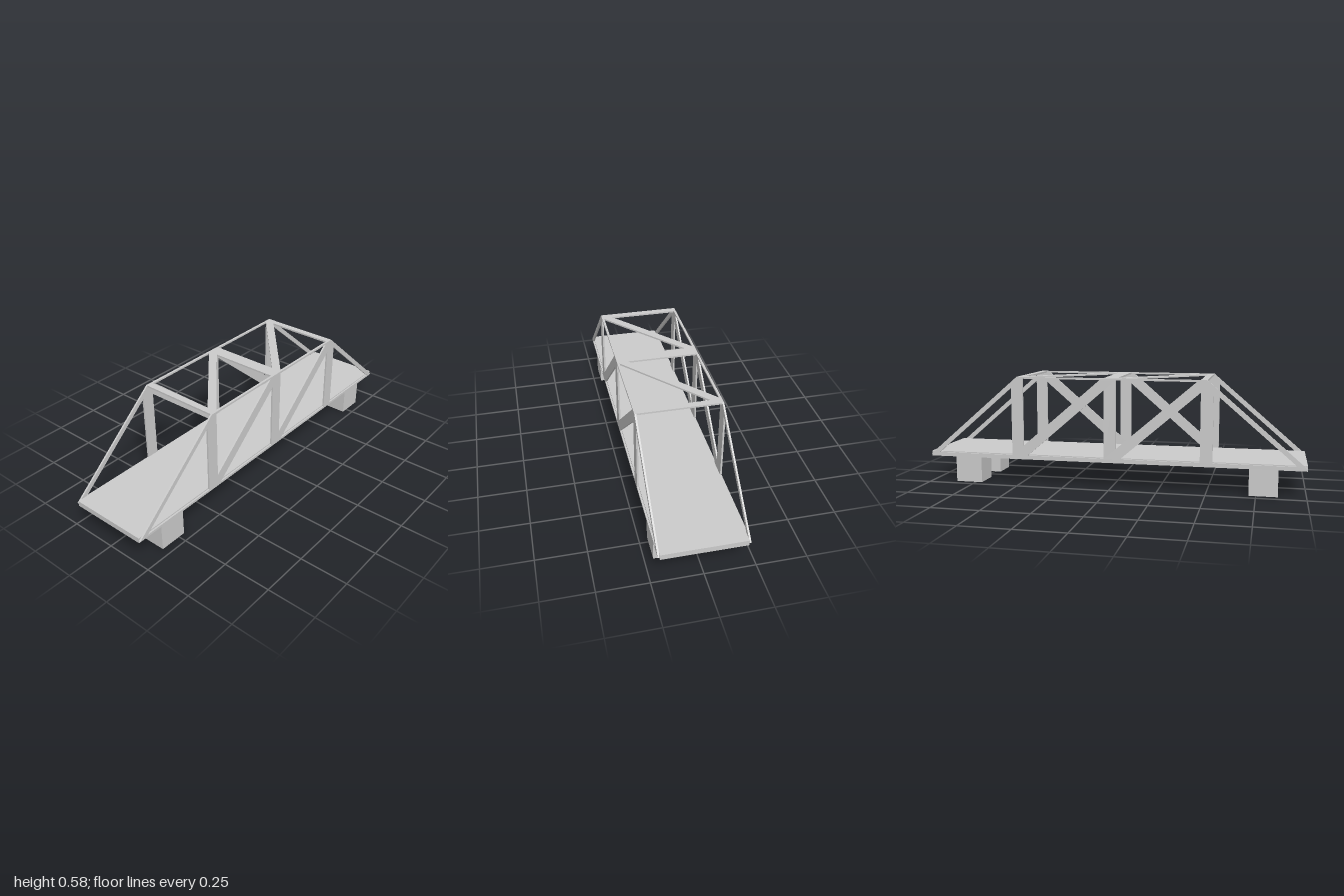
import * as THREE from 'three';

const material = new THREE.MeshStandardMaterial({ color: 0xcccccc, flatShading: true });
const BASE = 0.15, TOP = 0.58, HALF_WIDTH = 0.2165, THICK = 0.009;
const PANEL = 0.5, CHORD = 0.01, POST = 0.032, DIAGONAL = 0.027, SLOPE = 0.024;

function addMesh(parent, name, geometry, x = 0, y = 0, z = 0) {
  const mesh = new THREE.Mesh(geometry, material);
  mesh.name = name;
  mesh.position.set(x, y, z);
  parent.add(mesh);
  return mesh;
}

// Moves each edge of a counter-clockwise polygon inwards by its own distance
function inset(points, distances) {
  const n = points.length;
  const lines = points.map(([x, y], i) => {
    const [x2, y2] = points[(i + 1) % n];
    const length = Math.hypot(x2 - x, y2 - y);
    const nx = -(y2 - y) / length, ny = (x2 - x) / length;
    return { nx, ny, c: nx * x + ny * y + distances[i] };
  });
  return lines.map((b, i) => {
    const a = lines[(i + n - 1) % n];
    const det = a.nx * b.ny - a.ny * b.nx;
    return new THREE.Vector2((a.c * b.ny - a.ny * b.c) / det, (a.nx * b.c - a.c * b.nx) / det);
  });
}

// Thin framework: an outline with inset triangular openings
function framework(outline, openings) {
  const shape = new THREE.Shape(outline.map(([x, y]) => new THREE.Vector2(x, y)));
  for (const [points, distances] of openings) shape.holes.push(new THREE.Path(inset(points, distances)));
  return new THREE.ExtrudeGeometry(shape, { depth: THICK, bevelEnabled: false });
}

// Side truss drawn in (z, y), standing at +x
function sideTrussGeometry() {
  const openings = [
    [[[PANEL, BASE], [1, BASE], [PANEL, TOP]], [CHORD, SLOPE, POST]],
    [[[-1, BASE], [-PANEL, BASE], [-PANEL, TOP]], [CHORD, POST, SLOPE]],
  ];
  for (const a of [-PANEL, 0]) {
    const b = a + PANEL;
    openings.push([[[a, BASE], [b, BASE], [a, TOP]], [CHORD, DIAGONAL, POST]]);
    openings.push([[[b, BASE], [b, TOP], [a, TOP]], [POST, CHORD, DIAGONAL]]);
  }
  const outline = [[-1, BASE], [1, BASE], [PANEL, TOP], [-PANEL, TOP]];
  return framework(outline, openings).rotateY(-Math.PI / 2).translate(HALF_WIDTH, 0, 0);
}

// Top bracing drawn in (x, z), lying between the upper chords
function topBracingGeometry() {
  const w = HALF_WIDTH, openings = [];
  for (const a of [-PANEL, 0]) {
    const b = a + PANEL;
    openings.push([[[-w, a], [w, a], [w, b]], [0.034, 0.012, 0.021]]);
    openings.push([[[-w, a], [w, b], [-w, b]], [0.021, 0.034, 0.012]]);
  }
  const outline = [[-w, -PANEL], [w, -PANEL], [w, PANEL], [-w, PANEL]];
  return framework(outline, openings).rotateX(Math.PI / 2).translate(0, TOP, 0);
}

export function createModel() {
  const bridge = new THREE.Group();
  bridge.name = 'trussBridge';

  // Road deck
  addMesh(bridge, 'deck', new THREE.BoxGeometry(0.414, 0.028, 2), 0, 0.151, 0);

  // Four supporting piers
  const pier = new THREE.BoxGeometry(0.138, 0.137, 0.145);
  for (const x of [-1, 1]) {
    for (const z of [-1, 1]) addMesh(bridge, 'pier', pier, x * 0.138, 0.0685, z * 0.787);
  }

  // Side trusses, the second turned half round so its diagonals run the other way
  const truss = sideTrussGeometry();
  addMesh(bridge, 'leftTruss', truss);
  addMesh(bridge, 'rightTruss', truss).rotation.y = Math.PI;

  // Overhead struts and diagonals
  addMesh(bridge, 'topBracing', topBracingGeometry());

  return bridge;
}
